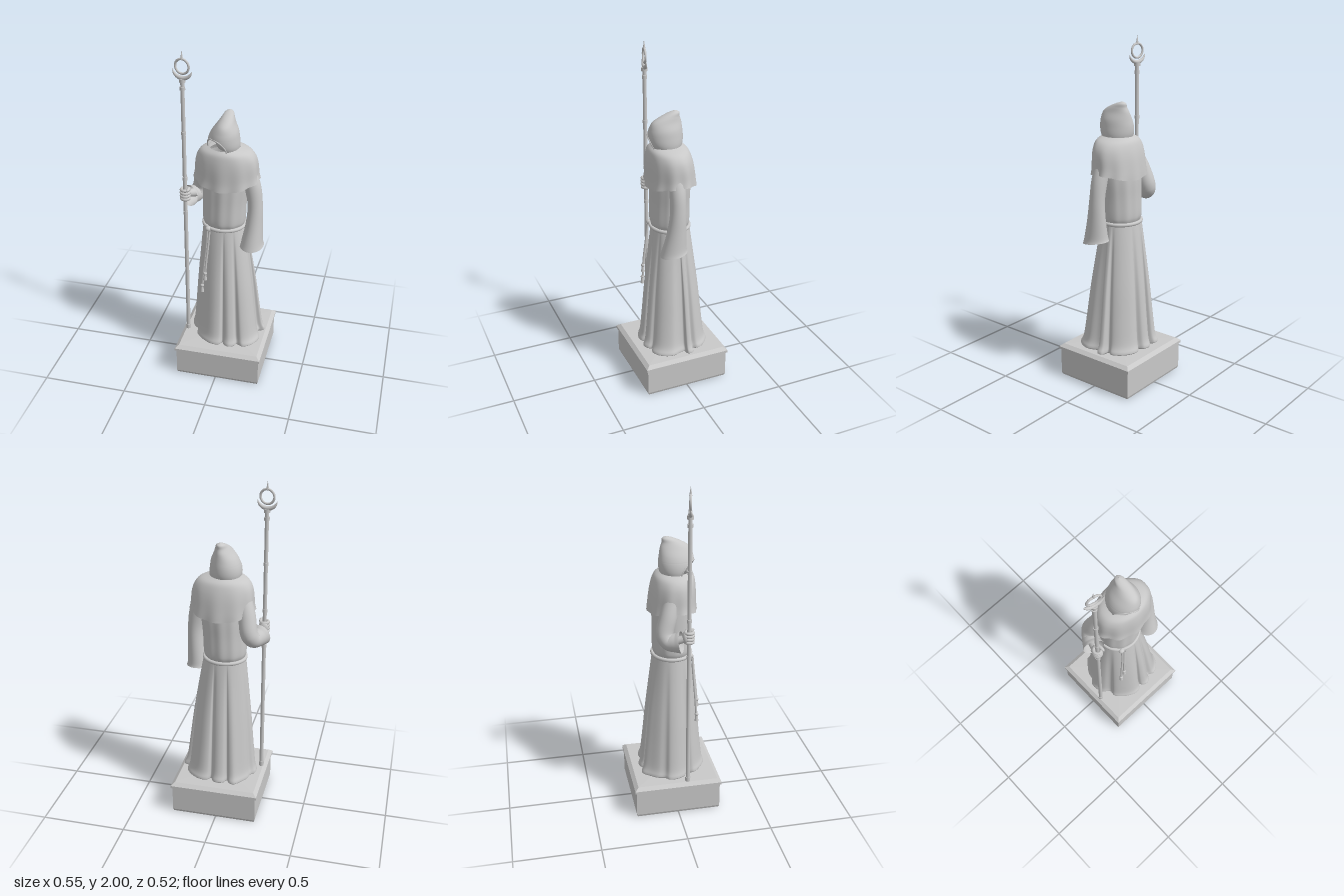
import * as THREE from 'three';

const stone = new THREE.MeshStandardMaterial({ color: 0xc8c8c8, side: THREE.DoubleSide });
stone.name = 'stone grey';
const V = (x, y, z) => new THREE.Vector3(x, y, z);
const TAU = Math.PI * 2;

// Joins equal-length rings of points into a smooth skin
function loft(rings, closed = true) {
  const n = rings[0].length, pos = [], idx = [];
  rings.forEach(r => r.forEach(p => pos.push(p.x, p.y, p.z)));
  for (let i = 0; i < rings.length - 1; i++) {
    for (let j = 0; j < (closed ? n : n - 1); j++) {
      const k = (j + 1) % n, a = i * n + j, b = i * n + k, c = a + n, d = b + n;
      idx.push(a, b, d, a, d, c);
    }
  }
  const g = new THREE.BufferGeometry();
  g.setAttribute('position', new THREE.Float32BufferAttribute(pos, 3));
  g.setIndex(idx);
  g.computeVertexNormals();
  return g;
}

// Smoothly interpolates rows of numbers
function smoothRows(rows, steps) {
  const cols = rows[0].map((_, k) => new THREE.SplineCurve(rows.map((r, i) => new THREE.Vector2(i, r[k]))));
  return Array.from({ length: steps + 1 }, (_, s) => cols.map(c => c.getPoint(s / steps).y));
}

// Elliptical body from rows [y, centreX, centreZ, radiusX, radiusZ], bottom to top
function body(rows, warp = p => p, steps = 24, n = 96) {
  return loft(smoothRows(rows, steps).map(([y, cx, cz, rx, rz], i) =>
    Array.from({ length: n }, (_, j) => {
      const a = j / n * TAU;
      return warp(V(cx + rx * Math.sin(a), y, cz + rz * Math.cos(a)), a, i / steps);
    })));
}

// Round sweep with changing radius from rows [x, y, z, radius]
function sweep(rows, steps = 24, n = 20) {
  const path = new THREE.CatmullRomCurve3(rows.map(r => V(r[0], r[1], r[2])));
  const rad = smoothRows(rows.map(r => [r[3]]), steps);
  const pts = path.getPoints(steps);
  let side = null;
  return loft(pts.map((p, i) => {
    const t = path.getTangent(i / steps);
    side = side || V(t.y, -t.x, 0.01);
    side.addScaledVector(t, -side.dot(t)).normalize();
    const up = t.clone().cross(side);
    return Array.from({ length: n }, (_, j) => {
      const a = j / n * TAU, r = rad[i][0];
      return p.clone().addScaledVector(side, r * Math.cos(a)).addScaledVector(up, r * Math.sin(a));
    });
  }));
}

export function createModel() {
  const model = new THREE.Group();
  model.name = 'robedFigure';
  const add = (name, geo, x = 0, y = 0, z = 0, parent = model) => {
    const m = new THREE.Mesh(geo, stone);
    m.name = name;
    m.position.set(x, y, z);
    parent.add(m);
    return m;
  };
  const ball = (name, x, y, z, sx, sy, sz, parent) => {
    const m = add(name, new THREE.SphereGeometry(1, 24, 16), x, y, z, parent);
    m.scale.set(sx, sy, sz);
    return m;
  };

  // Square plinth with a bevelled lip
  const profile = [[0, 0], [0.248, 0], [0.253, 0.014], [0.253, 0.165], [0.262, 0.17], [0.262, 0.185], [0.24, 0.203], [0, 0.21]];
  const plinth = new THREE.LatheGeometry(profile.map(([r, y]) => new THREE.Vector2(r * Math.SQRT2, y)), 4)
    .rotateY(Math.PI / 4).toNonIndexed();
  plinth.computeVertexNormals();
  add('plinth', plinth, 0.0125);

  // Skirt: an oval waist spreading into a folded hem
  const hem = new THREE.CatmullRomCurve3([
    [-0.03, 0.197], [0.01, 0.19], [0.025, 0.165], [0.04, 0.188], [0.07, 0.2], [0.1, 0.185], [0.112, 0.163],
    [0.15, 0.178], [0.2, 0.15], [0.232, 0.08], [0.215, 0.02], [0.215, -0.005], [0.246, -0.015], [0.244, -0.045],
    [0.2, -0.058], [0.212, -0.09], [0.19, -0.135], [0.14, -0.175], [0.1, -0.187], [0.07, -0.18], [0.05, -0.158],
    [0.03, -0.19], [0, -0.2], [-0.03, -0.19], [-0.05, -0.162], [-0.07, -0.19], [-0.1, -0.193], [-0.135, -0.155],
    [-0.165, -0.11], [-0.175, -0.07], [-0.198, -0.045], [-0.2, 0], [-0.18, 0.045], [-0.145, 0.075],
    [-0.145, 0.115], [-0.09, 0.17],
  ].map(([x, z]) => V(x, 0, z)), true).getPoints(216).slice(0, -1);
  const flare = smoothRows([[0.205, 0.85], [0.212, 0.99], [0.225, 1], [0.27, 0.86], [0.4, 0.71], [0.6, 0.5], [0.85, 0.18], [0.975, 0]], 48);
  add('skirt', loft(flare.map(([y, t]) => hem.map(p => {
    const a = Math.atan2(p.x, p.z);
    return V(THREE.MathUtils.lerp(0.122 * Math.sin(a), p.x, t), y, THREE.MathUtils.lerp(0.108 * Math.cos(a), p.z, t));
  }))));

  // Torso bloused over the belt
  add('torso', body([
    [0.96, 0, 0.005, 0.105, 0.095], [0.985, 0, 0.005, 0.12, 0.108], [1.02, 0, 0.005, 0.125, 0.113],
    [1.12, 0.003, 0.005, 0.126, 0.112], [1.25, 0.008, 0.005, 0.132, 0.112], [1.4, 0.01, 0.01, 0.13, 0.1],
  ], (p, a) => { p.z += 0.002 * Math.cos(11 * a); return p; }));

  // Rope belt with two hanging cords
  const belt = add('belt', new THREE.TorusGeometry(0.12, 0.011, 12, 72).rotateX(Math.PI / 2), 0, 0.968, 0.003);
  belt.scale.z = 0.93;
  ball('beltKnot', -0.072, 0.965, 0.102, 0.018, 0.016, 0.016);
  const cords = [
    [[-0.075, 0.96, 0.11], [-0.08, 0.85, 0.118], [-0.095, 0.7, 0.128], [-0.105, 0.57, 0.135]],
    [[-0.062, 0.96, 0.115], [-0.07, 0.85, 0.124], [-0.08, 0.74, 0.134], [-0.085, 0.66, 0.139]],
  ];
  cords.forEach(c => {
    add('beltCord', sweep(c.map(p => [...p, 0.0065]), 24, 10));
    const [x, y, z] = c[3];
    ball('cordKnot', x, y + 0.02, z, 0.011, 0.012, 0.011);
    add('tassel', new THREE.CylinderGeometry(0.007, 0.012, 0.035, 12), x, y - 0.005, z);
  });

  // Shoulder cape with a gently scalloped edge
  add('cape', body([
    [1.25, 0.015, 0.008, 0.187, 0.14], [1.29, 0.015, 0.008, 0.181, 0.136], [1.36, 0.015, 0.012, 0.176, 0.13],
    [1.41, 0.014, 0.016, 0.163, 0.121], [1.445, 0.012, 0.02, 0.135, 0.108], [1.465, 0.008, 0.025, 0.085, 0.085],
  ], (p, a, t) => {
    const k = (1 - t) ** 2, s = 1 + 0.028 * k * Math.cos(10 * a + 0.6);
    return V(0.015 + (p.x - 0.015) * s, p.y - 0.018 * k * Math.cos(2 * a), p.z * s);
  }));

  // Hood, open towards the front and the figure's right
  const facing = -0.5, sides = 96;
  const rows = smoothRows([
    [1.44, 0.004, 0.025, 0.084, 0.08], [1.48, 0.003, 0.029, 0.09, 0.096], [1.52, 0.004, 0.031, 0.086, 0.1],
    [1.56, 0.009, 0.031, 0.074, 0.095], [1.6, 0.015, 0.026, 0.051, 0.083], [1.628, 0.02, 0.01, 0.036, 0.057],
    [1.65, 0.022, -0.014, 0.023, 0.03], [1.661, 0.022, -0.022, 0.001, 0.001],
  ], 84);
  const gap = y => 0.88 * Math.sqrt(Math.max(0, 1 - (Math.max(0, y - 1.455) / 0.078) ** 2));
  const hoodRings = rows.map(([y, cx, cz, rx, rz]) => Array.from({ length: sides + 1 }, (_, j) => {
    const w = gap(y), a = facing + w + (j / sides) * (TAU - 2 * w);
    return V(cx + rx * Math.sin(a), y, cz + rz * Math.cos(a));
  }));
  const hood = loft(hoodRings, false), nor = hood.attributes.normal;
  rows.forEach(([y], i) => { // blend normals along the closed seam
    if (gap(y) > 0) return;
    const a = i * (sides + 1), b = a + sides;
    const m = V(nor.getX(a) + nor.getX(b), nor.getY(a) + nor.getY(b), nor.getZ(a) + nor.getZ(b)).normalize();
    [a, b].forEach(k => nor.setXYZ(k, m.x, m.y, m.z));
  });
  add('hood', hood);
  const open = hoodRings.filter((_, i) => gap(rows[i][0]) > 0);
  const rim = [...open.map(r => r[0]), ...open.map(r => r[sides]).reverse()];
  add('hoodRim', sweep(rim.map(p => [p.x, p.y, p.z, 0.004]), 90, 8));
  ball('shadedHead', 0.008, 1.5, 0.015, 0.058, 0.07, 0.06);

  // Left sleeve hanging straight and widening at the cuff
  add('leftSleeve', body([
    [0.868, 0.172, 0.05, 0.07, 0.079], [0.9, 0.174, 0.048, 0.061, 0.071], [1.0, 0.182, 0.038, 0.049, 0.056],
    [1.12, 0.184, 0.03, 0.043, 0.045], [1.24, 0.165, 0.025, 0.048, 0.045], [1.36, 0.13, 0.02, 0.04, 0.045],
  ], (p, a, t) => { p.y += 0.012 * (1 - t) ** 3 * Math.cos(a) * -1; return p; }, 24, 48));

  // Right sleeve bent at the elbow, with a drooping cuff
  add('rightSleeve', sweep([
    [-0.105, 1.36, -0.005, 0.045], [-0.135, 1.25, -0.04, 0.05], [-0.155, 1.15, -0.065, 0.05],
    [-0.175, 1.115, -0.045, 0.049], [-0.195, 1.115, -0.01, 0.054], [-0.207, 1.12, 0.018, 0.062],
  ], 32, 32));
  add('forearm', sweep([[-0.175, 1.12, -0.04, 0.027], [-0.2, 1.13, 0.0, 0.023], [-0.215, 1.145, 0.035, 0.02]], 12, 16));

  // Staff
  const staff = new THREE.Group();
  staff.name = 'staff';
  staff.position.set(-0.217, 0, 0.06);
  model.add(staff);
  add('shaft', new THREE.CylinderGeometry(0.011, 0.012, 1.63, 20), 0, 1.015, 0, staff);
  for (const [y, r, h] of [[0.22, 0.015, 0.03], [1.03, 0.014, 0.02], [1.25, 0.014, 0.02], [1.53, 0.014, 0.02], [1.79, 0.015, 0.02], [1.835, 0.018, 0.02]])
    add('staffCollar', new THREE.CylinderGeometry(r, r, h, 20), 0, y, 0, staff);

  // Hand gripping the staff
  for (let i = 0; i < 4; i++)
    add('finger', new THREE.TorusGeometry(0.023 - 0.001 * Math.abs(i - 1.5), 0.0095, 10, 24).rotateX(Math.PI / 2), 0, 1.125 + i * 0.0185, 0, staff);
  ball('palm', 0, 1.152, -0.022, 0.026, 0.036, 0.018, staff);
  ball('thumb', 0.022, 1.187, 0.008, 0.01, 0.011, 0.026, staff);

  // Crescent, ring and spike at the top of the staff
  const finial = new THREE.Group();
  finial.name = 'staffFinial';
  finial.rotation.y = -0.2;
  staff.add(finial);
  const arc = Array.from({ length: 13 }, (_, i) => {
    const u = i / 6 - 1, a = u * 1.45;
    return [0.057 * Math.sin(a), 1.897 - 0.05 * Math.cos(a), 0, 0.001 + 0.011 * (1 - u * u)];
  });
  add('crescent', sweep(arc, 48, 12), 0, 0, 0, finial);
  add('ring', new THREE.TorusGeometry(0.04, 0.0065, 12, 48), 0, 1.912, 0, finial);
  add('spike', new THREE.ConeGeometry(0.008, 0.052, 12), 0, 1.974, 0, finial);

  return model;
}
